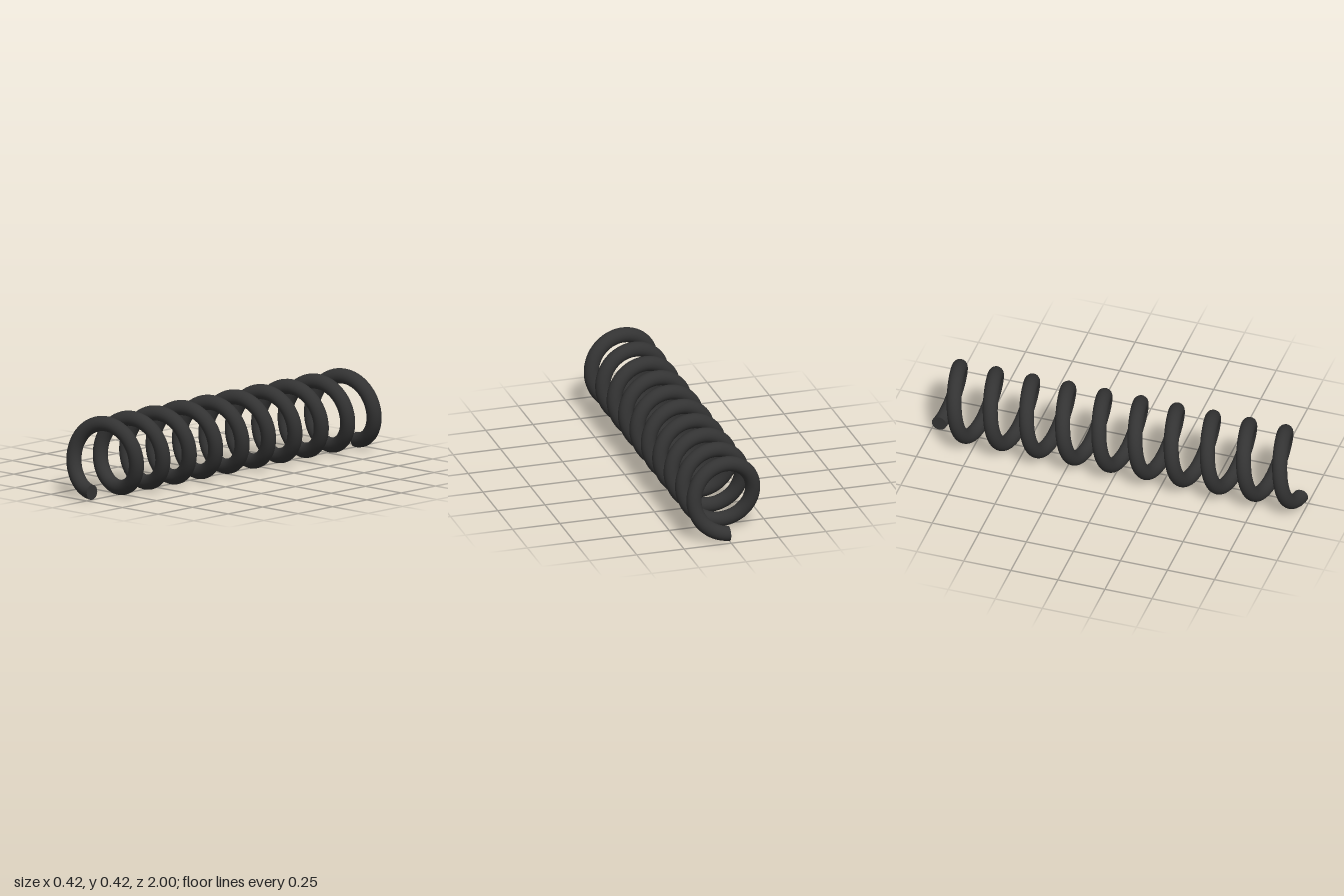
import * as THREE from 'three';
import { mergeVertices } from 'three/addons/utils/BufferGeometryUtils.js';

const TURNS = 10, COIL_R = 0.17, WIRE_R = 0.0385, HALF = 0.9615, SIDES = 24;
const AXIS_Y = COIL_R + WIRE_R;

// A torus wound several times round, drawn out along z into a helix
function coilGeometry() {
  const torus = new THREE.TorusGeometry(COIL_R, WIRE_R, SIDES, TURNS * 64, TURNS * Math.PI * 2);
  torus.rotateZ(-Math.PI / 2);
  const pos = torus.attributes.position, uv = torus.attributes.uv;
  for (let i = 0; i < pos.count; i++) {
    pos.setZ(i, pos.getZ(i) + HALF * (2 * uv.getX(i) - 1));
  }
  torus.deleteAttribute('uv');
  torus.deleteAttribute('normal');
  const smooth = mergeVertices(torus, 1e-5);
  smooth.computeVertexNormals();
  return smooth;
}

export function createModel() {
  const group = new THREE.Group();
  group.name = 'spring';
  const material = new THREE.MeshStandardMaterial({ color: 0x333333 });

  // Wire coil
  const coil = new THREE.Mesh(coilGeometry(), material);
  coil.name = 'coil';
  coil.position.y = AXIS_Y;
  group.add(coil);

  // Flat wire ends, at the bottom of the first and last turns
  for (const side of [1, -1]) {
    const end = new THREE.Mesh(new THREE.CircleGeometry(WIRE_R, SIDES), material);
    end.name = side > 0 ? 'frontWireEnd' : 'backWireEnd';
    end.rotation.y = side * Math.PI / 2;
    end.position.set(0, WIRE_R, side * HALF);
    group.add(end);
  }
  return group;
}
